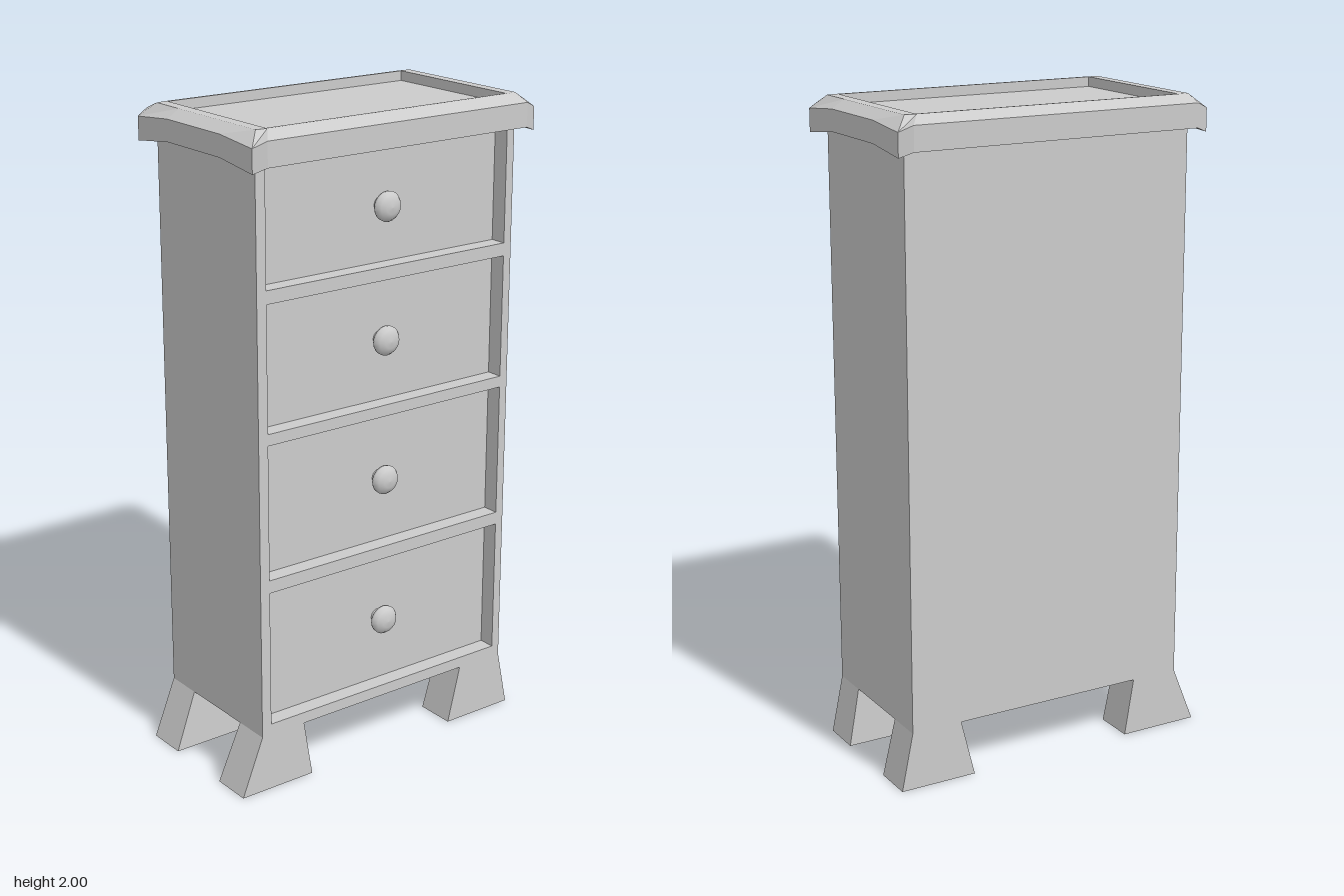
import * as THREE from 'three';

const material = new THREE.MeshStandardMaterial({ color: 0xcccccc, flatShading: true });
const smooth = new THREE.MeshStandardMaterial({ color: 0xcccccc });
const CZ = -0.0175; // middle of the cabinet in z

function add(group, name, geometry, mat = material) {
  const mesh = new THREE.Mesh(geometry, mat);
  mesh.name = name;
  group.add(mesh);
  return mesh;
}

// Mirrors three corner points [x, y, z] into a closed loop of twelve
function mirrorRing(pts) {
  const right = [...pts, ...pts.map(([x, y, z]) => [x, y, -z]).reverse()];
  return [...right, ...right.map(([x, y, z]) => [-x, y, z]).reverse()];
}

// Skins a stack of rings, listed from the underside outwards and up
function loft(rings) {
  const n = rings[0].length;
  const index = [];
  for (let r = 0; r < rings.length - 1; r++) {
    for (let i = 0; i < n; i++) {
      const a = r * n + i, b = r * n + (i + 1) % n;
      index.push(a, b, b + n, a, b + n, a + n);
    }
  }
  const g = new THREE.BufferGeometry();
  g.setAttribute('position', new THREE.Float32BufferAttribute(rings.flat(2), 3));
  g.setIndex(index);
  const flat = g.toNonIndexed();
  flat.computeVertexNormals();
  return flat;
}

// Four-sided leg that flares outwards towards the floor
function legGeometry(sx, sz, topZ, footZ) {
  const g = new THREE.BoxGeometry(1, 1, 1);
  const p = g.attributes.position;
  for (let i = 0; i < p.count; i++) {
    const top = p.getY(i) > 0;
    const outerX = p.getX(i) * sx > 0, outerZ = p.getZ(i) * sz > 0;
    const [outer, inner] = top ? topZ : footZ;
    p.setXYZ(i, sx * (outerX ? 0.243 : top ? 0.125 : 0.115), top ? 0.18 : 0, sz * (outerZ ? outer : inner));
  }
  g.computeVertexNormals();
  return g;
}

function rectangle(path, z0, z1, y0, y1) {
  path.moveTo(z0, y0);
  path.lineTo(z1, y0);
  path.lineTo(z1, y1);
  path.lineTo(z0, y1);
  path.closePath();
  return path;
}

export function createModel() {
  const group = new THREE.Group();
  group.name = 'drawerChest';

  // Carcass; its +x face is the drawer fronts
  const faceX = 0.19;
  const carcass = add(group, 'carcass', new THREE.BoxGeometry(faceX + 0.243, 1.76, 0.93));
  carcass.position.set((faceX - 0.243) / 2, 1.06, CZ);

  // Raised frame around the four drawers
  const drawers = [[0.215, 0.64], [0.68, 1.095], [1.13, 1.51], [1.55, 1.92]];
  const outline = rectangle(new THREE.Shape(), -0.4475, 0.4825, 0.18, 1.94);
  for (const [y0, y1] of drawers) {
    outline.holes.push(rectangle(new THREE.Path(), -0.415, 0.455, y0, y1));
  }
  const frame = add(group, 'drawerFrame',
    new THREE.ExtrudeGeometry(outline, { depth: 0.243 - faceX, bevelEnabled: false }));
  frame.rotation.y = Math.PI / 2;
  frame.position.x = faceX;

  // Round knobs on short stems
  const profile = [[0.024, 0], [0.022, 0.018], [0.044, 0.026], [0.045, 0.036], [0.036, 0.048], [0.02, 0.055], [0, 0.057]]
    .map(([r, h]) => new THREE.Vector2(r, h));
  for (const y of [1.72, 1.32, 0.885, 0.425]) {
    const knob = add(group, 'knob', new THREE.LatheGeometry(profile, 20), smooth);
    knob.rotation.z = -Math.PI / 2;
    knob.position.set(faceX, y, -0.025);
  }

  // Overhanging top with drooping corners, bevelled rim and sunken panel
  const rings = [
    [[0, 1.92, 0], [0, 1.92, 0], [0, 1.92, 0]],
    [[0.13, 1.92, 0.455], [0.235, 1.915, 0.455], [0.235, 1.915, 0.43]],
    [[0.13, 1.91, 0.5025], [0.285, 1.89, 0.5025], [0.3, 1.905, 0.4625]],
    [[0.13, 1.975, 0.5025], [0.285, 1.96, 0.5025], [0.3, 1.978, 0.4625]],
    [[0.13, 2, 0.4625], [0.245, 2, 0.4625], [0.25, 2, 0.4275]],
    [[0.13, 2, 0.4275], [0.242, 2, 0.4275], [0.242, 2, 0.4275]],
    [[0.13, 1.97, 0.4275], [0.242, 1.97, 0.4275], [0.242, 1.97, 0.4275]],
    [[0, 1.97, 0], [0, 1.97, 0], [0, 1.97, 0]],
  ].map(mirrorRing);
  add(group, 'top', loft(rings)).position.z = CZ;

  // Splayed legs
  for (const sx of [-1, 1]) {
    add(group, 'frontLeg', legGeometry(sx, 1, [0.4475, 0.295], [0.52, 0.265]));
    add(group, 'backLeg', legGeometry(sx, -1, [0.4825, 0.32], [0.52, 0.275]));
  }
  return group;
}
